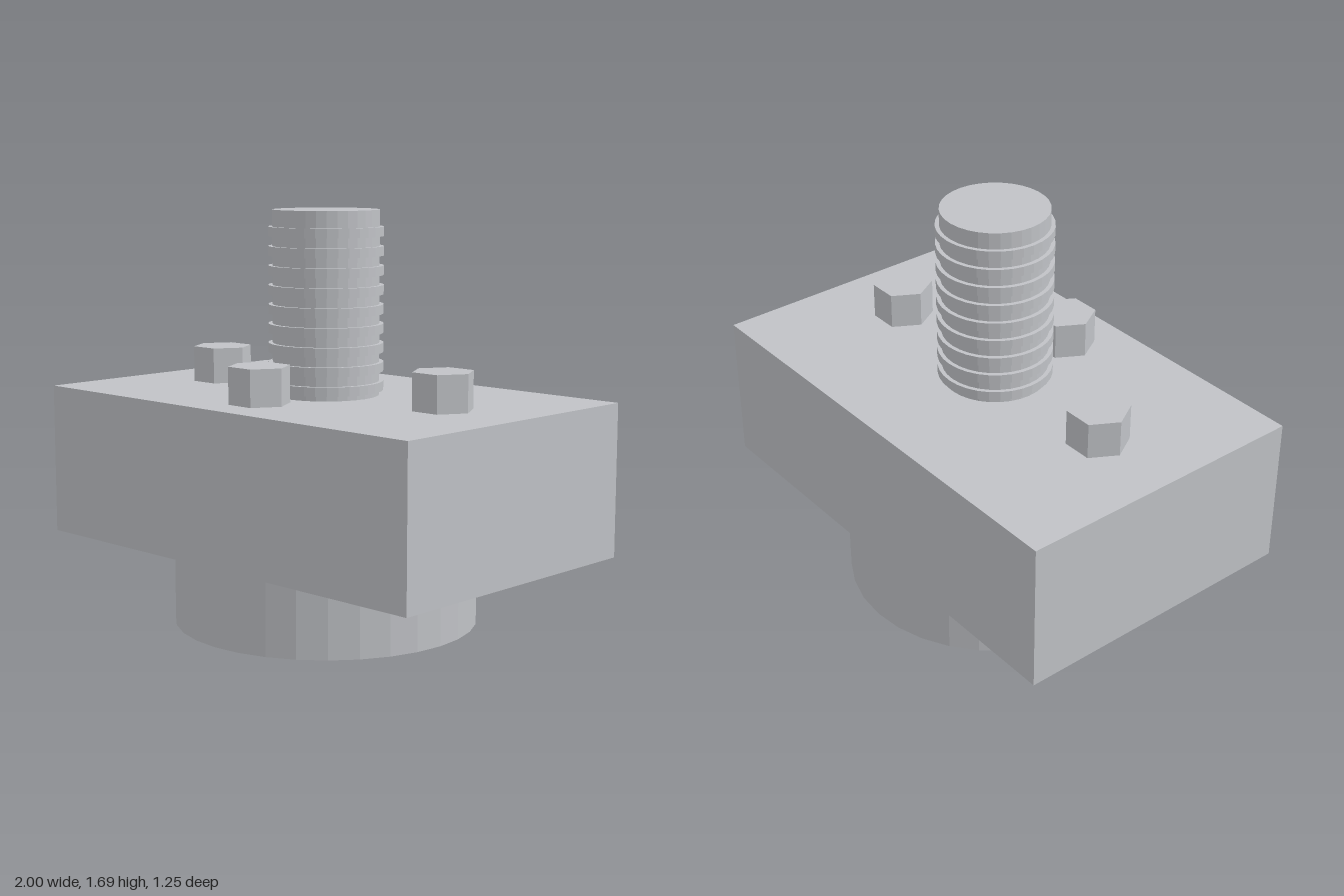
import * as THREE from 'three';

export function createModel() {
  const model = new THREE.Group();
  model.name = 'studdedBlock';
  const steel = new THREE.MeshStandardMaterial({ color: 0xc0c2c6, flatShading: true });
  steel.name = 'steel grey';

  const add = (name, geometry, x, y, z) => {
    const mesh = new THREE.Mesh(geometry, steel);
    mesh.name = name;
    mesh.position.set(x, y, z);
    model.add(mesh);
  };

  const baseHeight = 0.3125;
  const blockHeight = 0.625;
  const deck = baseHeight + blockHeight;

  // Round foot and rectangular body
  add('base', new THREE.CylinderGeometry(0.625, 0.625, baseHeight, 32), 0, baseHeight / 2, 0);
  add('block', new THREE.BoxGeometry(2, blockHeight, 1.25), 0, baseHeight + blockHeight / 2, 0);

  // Central stud: a stepped profile with nine square ridges
  const core = 0.217, ridge = 0.234, pitch = 0.078, ridgeHeight = 0.038, studHeight = 0.75;
  const profile = [new THREE.Vector2(0, 0), new THREE.Vector2(core, 0)];
  for (let i = 0; i < 9; i++) {
    const low = 0.02 + i * pitch;
    const high = low + ridgeHeight;
    profile.push(
      new THREE.Vector2(core, low), new THREE.Vector2(ridge, low),
      new THREE.Vector2(ridge, high), new THREE.Vector2(core, high)
    );
  }
  profile.push(new THREE.Vector2(core, studHeight), new THREE.Vector2(0, studHeight));
  add('threadedStud', new THREE.LatheGeometry(profile, 32), 0, deck, 0);

  // Hexagonal bolt heads, corners pointing sideways
  const boltHeight = 0.15;
  const bolt = new THREE.CylinderGeometry(0.125, 0.125, boltHeight, 6, 1, false, Math.PI / 6);
  const bolts = [['leftBolt', 0.625, 0], ['rightBolt', -0.625, 0], ['frontBolt', 0, 0.375]];
  for (const [name, x, z] of bolts) add(name, bolt, x, deck + boltHeight / 2, z);

  return model;
}
